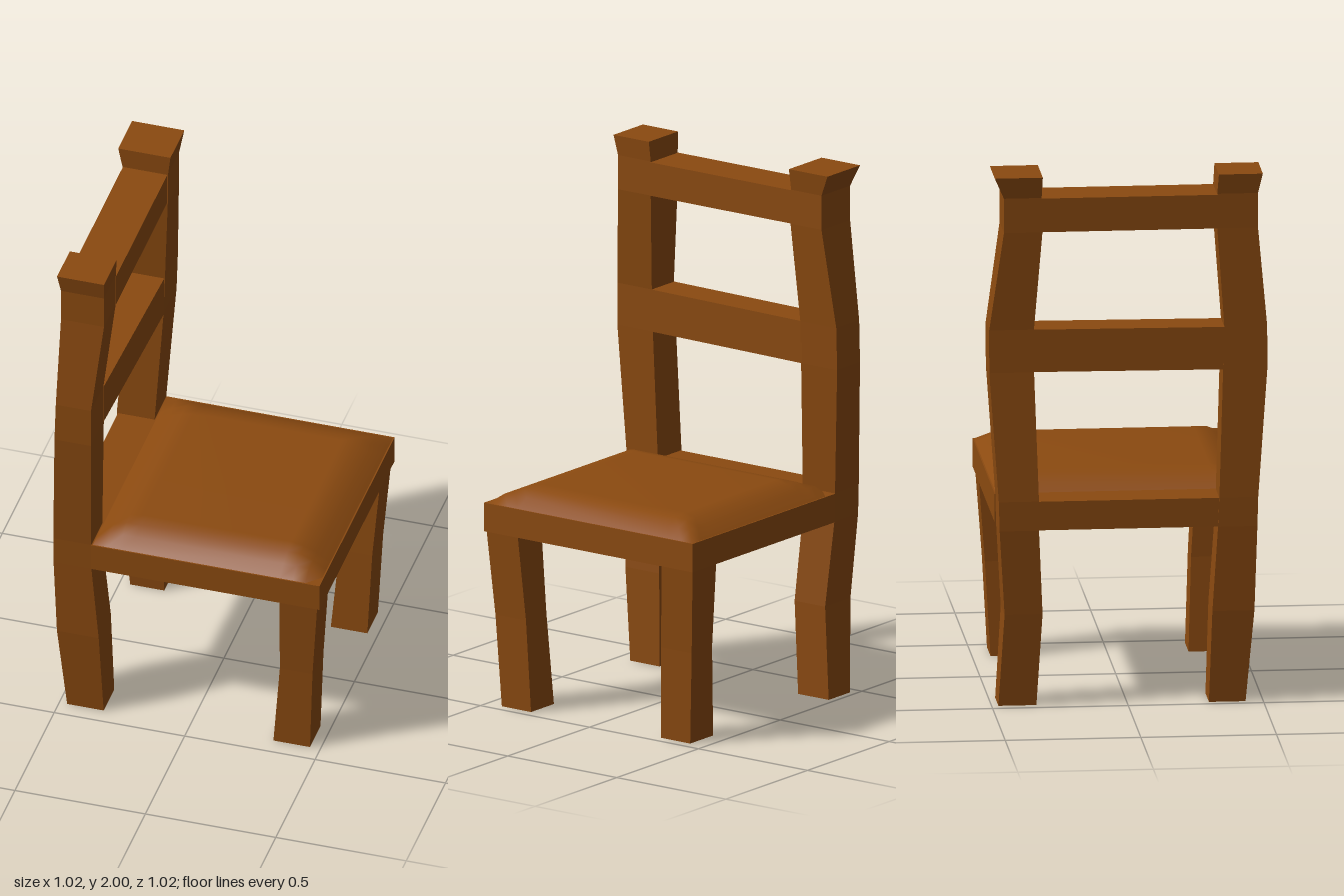
import * as THREE from 'three';

const wood = new THREE.MeshStandardMaterial({ color: 0x8b4a10, side: THREE.DoubleSide });

// Rectangular column through cross-sections [y, x0, x1, z0, z1]; open foot, closed top
function column(sections) {
  const pos = [], idx = [];
  for (const [y, x0, x1, z0, z1] of sections) pos.push(x0, y, z1, x1, y, z1, x1, y, z0, x0, y, z0);
  for (let s = 0; s < sections.length - 1; s++) {
    for (let i = 0; i < 4; i++) {
      const a = s * 4 + i, b = s * 4 + (i + 1) % 4;
      idx.push(a, b, b + 4, a, b + 4, a + 4);
    }
  }
  const t = (sections.length - 1) * 4;
  idx.push(t, t + 1, t + 2, t, t + 2, t + 3);
  const g = new THREE.BufferGeometry();
  g.setAttribute('position', new THREE.Float32BufferAttribute(pos, 3));
  g.setIndex(idx);
  const flat = g.toNonIndexed();
  flat.computeVertexNormals();
  return flat;
}

// Box given by its limits, with an optional slant of x along z
function block(x0, x1, y0, y1, z0, z1, slant = 0) {
  const g = new THREE.BoxGeometry(x1 - x0, y1 - y0, z1 - z0);
  g.translate((x0 + x1) / 2, (y0 + y1) / 2, (z0 + z1) / 2);
  const p = g.attributes.position;
  for (let i = 0; i < p.count; i++) p.setX(i, p.getX(i) + slant * p.getZ(i));
  g.computeVertexNormals();
  return g;
}

// Domed seat pad: a grid whose height depends on the distance to the nearest edge
function pad(x0, x1, z0, z1) {
  const inset = [0, 0.05, 0.1, 0.15], height = [0.778, 0.81, 0.83, 0.84];
  const g = new THREE.PlaneGeometry(1, 1, 7, 7).rotateX(-Math.PI / 2);
  const p = g.attributes.position;
  const place = (k, lo, hi) => (k < 4 ? lo + inset[k] : hi - inset[7 - k]);
  for (let i = 0; i < p.count; i++) {
    const c = i % 8, r = Math.floor(i / 8);
    const ring = Math.min(c, 7 - c, r, 7 - r);
    p.setXYZ(i, place(c, x0, x1), height[ring], place(r, z0, z1));
  }
  g.computeVertexNormals();
  return g;
}

export function createModel() {
  const chair = new THREE.Group();
  chair.name = 'chair';
  const add = (name, geometry) => {
    const m = new THREE.Mesh(geometry, wood);
    m.name = name;
    chair.add(m);
  };

  // Back legs run up into the bowed back posts with flared tops
  add('backPostNear', column([
    [0, -0.47, -0.33, 0.3, 0.435],
    [0.35, -0.5, -0.34, 0.31, 0.465],
    [0.67, -0.51, -0.365, 0.33, 0.475],
    [0.78, -0.51, -0.365, 0.335, 0.478],
    [1.26, -0.495, -0.355, 0.35, 0.513],
    [1.42, -0.49, -0.355, 0.355, 0.513],
    [1.79, -0.48, -0.315, 0.33, 0.48],
    [1.92, -0.48, -0.315, 0.33, 0.48],
    [1.995, -0.49, -0.31, 0.335, 0.497],
  ]));
  add('backPostFar', column([
    [0, -0.46, -0.33, -0.475, -0.335],
    [0.35, -0.49, -0.335, -0.455, -0.315],
    [0.67, -0.51, -0.365, -0.475, -0.33],
    [0.78, -0.51, -0.365, -0.478, -0.33],
    [1.26, -0.475, -0.335, -0.51, -0.345],
    [1.42, -0.47, -0.33, -0.51, -0.345],
    [1.79, -0.485, -0.31, -0.457, -0.315],
    [1.92, -0.485, -0.31, -0.457, -0.318],
    [2, -0.5, -0.3, -0.492, -0.315],
  ]));

  // Front legs
  for (const side of [1, -1]) {
    const legSection = (y, x0, x1, inner, outer) =>
      (side > 0 ? [y, x0, x1, inner, outer] : [y, x0, x1, -outer, -inner]);
    add(side > 0 ? 'frontLegNear' : 'frontLegFar', column([
      legSection(0, 0.32, 0.46, 0.298, 0.432),
      legSection(0.35, 0.35, 0.475, 0.31, 0.45),
      legSection(0.68, 0.355, 0.5, 0.33, 0.473),
    ]));
  }

  // Seat board, its rear strip between the posts, and the domed pad
  add('seatBoard', block(-0.366, 0.51, 0.67, 0.778, -0.48, 0.477));
  add('seatRearStrip', block(-0.505, -0.366, 0.67, 0.778, -0.335, 0.335));
  add('seatPad', pad(-0.36, 0.505, -0.475, 0.472));

  // Back rails
  add('middleRail', block(-0.482, -0.343, 1.26, 1.42, -0.35, 0.355, -0.03));
  add('topRail', block(-0.483, -0.313, 1.79, 1.917, -0.318, 0.332));
  return chair;
}
